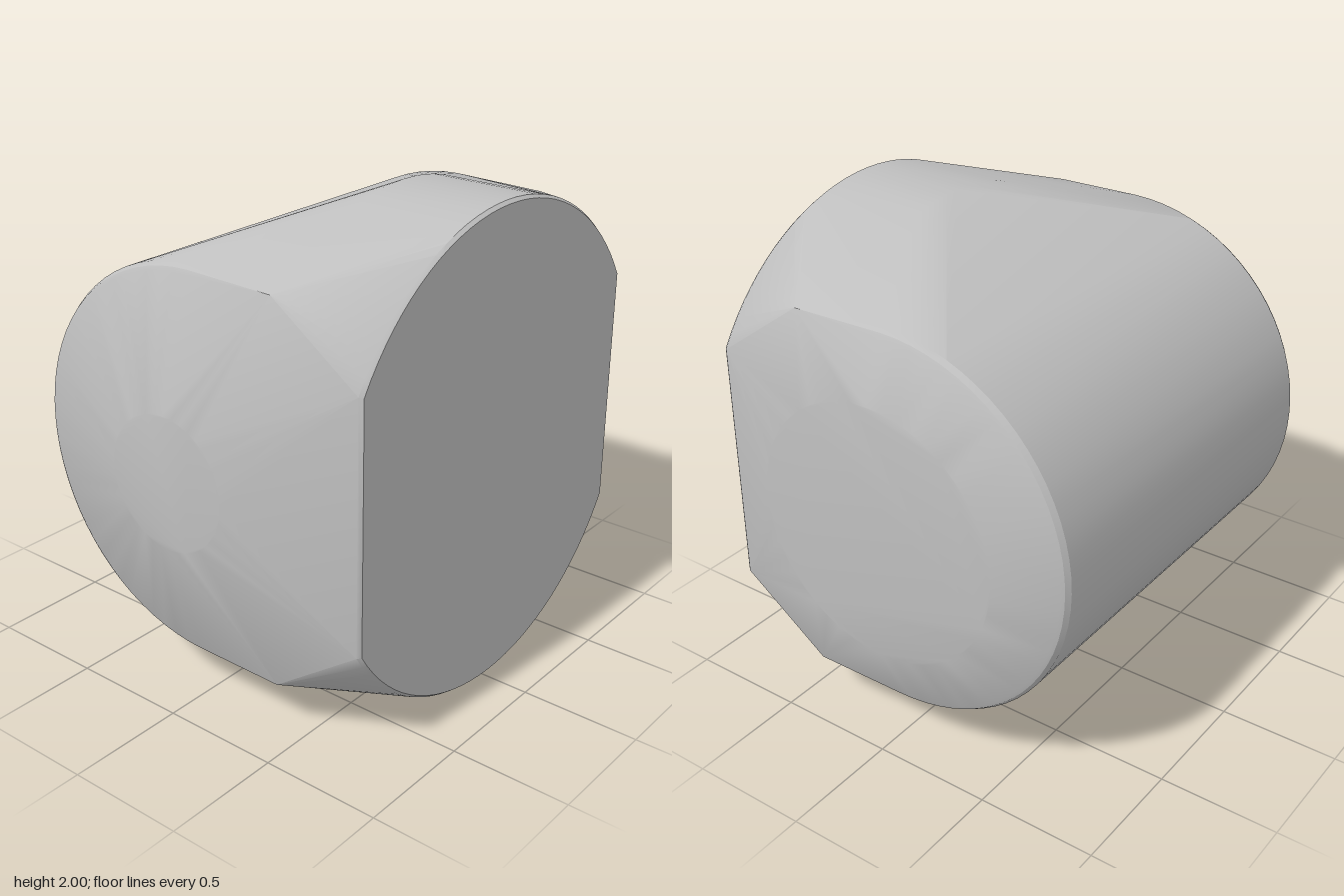
import * as THREE from 'three';
import { ConvexGeometry } from 'three/addons/geometries/ConvexGeometry.js';
import { toCreasedNormals } from 'three/addons/utils/BufferGeometryUtils.js';

const LEFT = 0.89, RIGHT = -0.83, MID = 0.03;

export function createModel() {
  const shell = new THREE.MeshStandardMaterial({ color: 0xbfbfbf });
  shell.name = 'light grey';
  const points = [];
  const add = (x, y, z) => points.push(new THREE.Vector3(x, y, z));

  // Circle around the sideways axis, at height 1
  const sideRing = (x, radius, count) => {
    for (let i = 0; i < count; i++) {
      const a = (i / count) * Math.PI * 2;
      add(x, 1 + Math.sin(a) * radius, Math.cos(a) * radius);
    }
  };

  // Upright circle cut off straight at both sides
  const frontRing = (z, radius, inset) => {
    const half = (LEFT - RIGHT) / 2 - inset;
    const limit = Math.acos(half / radius);
    const steps = 32;
    for (let i = 0; i <= steps; i++) {
      const a = limit + (i / steps) * (Math.PI - 2 * limit);
      for (const s of [-1, 1]) add(MID + Math.cos(a) * radius, 1 + s * Math.sin(a) * radius, z);
    }
  };

  // Round front block with a small softened rim
  frontRing(0.8, 0.988, 0.012);
  frontRing(0.785, 1, 0);
  frontRing(0.32, 1, 0);

  // Barrel lying sideways, with softened ends and square shoulders
  for (const [x, s] of [[LEFT, 1], [RIGHT, -1]]) {
    sideRing(x, 0.775, 72);
    sideRing(x - s * 0.008, 0.79, 72);
    sideRing(x - s * 0.03, 0.803, 72);
    for (const t of [-1, 1]) add(x, 1 + t * 0.785, 0.4);
  }

  // Shallow end caps, wide on the left and narrow on the right
  sideRing(0.98, 0.54, 48);
  sideRing(-0.98, 0.275, 40);

  const body = new THREE.Mesh(toCreasedNormals(new ConvexGeometry(points), 0.5), shell);
  body.name = 'body';
  const group = new THREE.Group();
  group.name = 'roundedBlock';
  group.add(body);
  return group;
}
